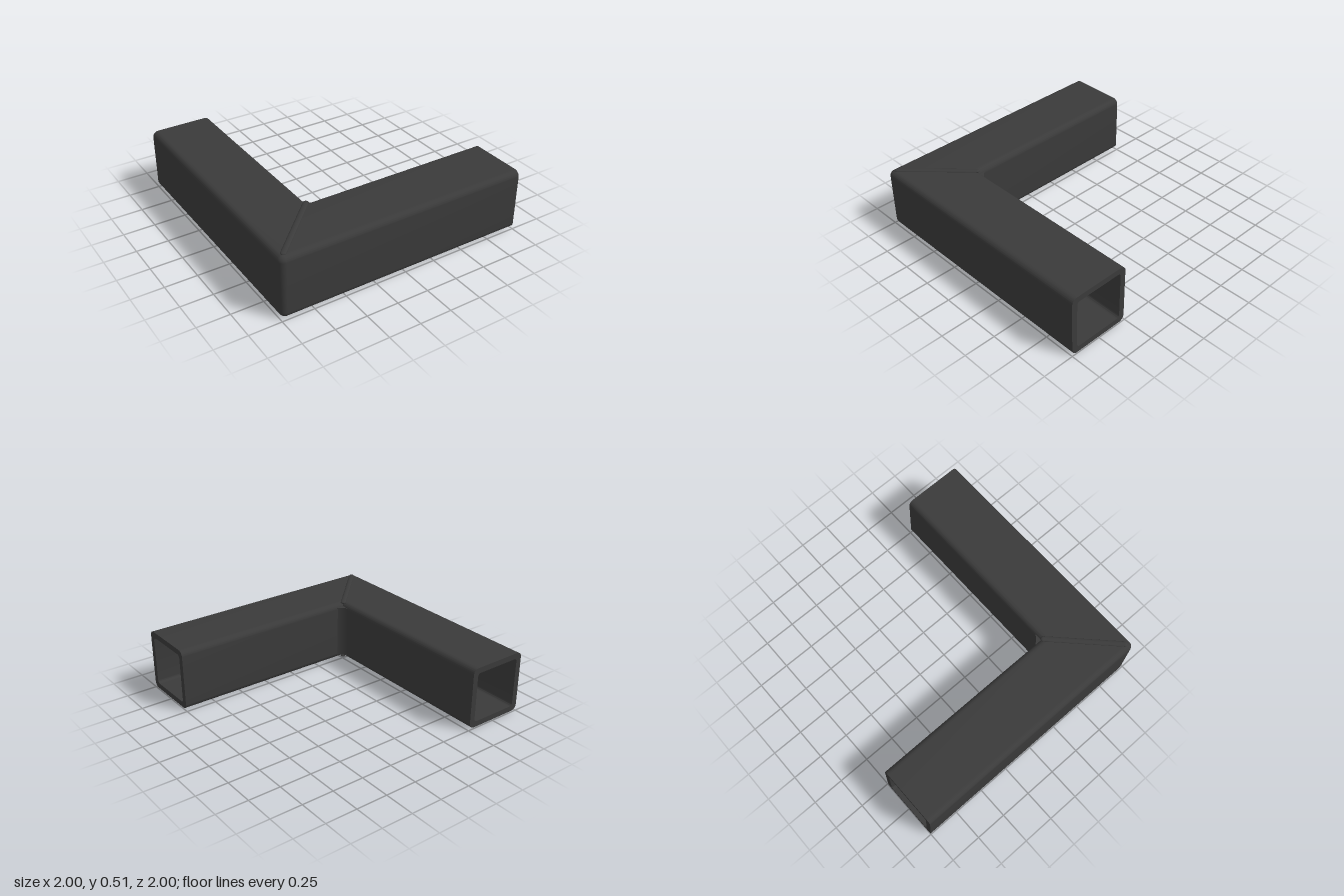
import * as THREE from 'three';
import { toCreasedNormals } from 'three/addons/utils/BufferGeometryUtils.js';

const W = 0.49, R = 0.045, WALL = 0.045; // tube width, corner radius, wall thickness
const MID = -1 + W / 2;                  // centre line of a tube
const CY = 0.255;                        // height of the tube centre

// Rounded square centred on (MID, 0)
function roundedSquare(Type, size, r) {
  const s = new Type(), k = size / 2 - r;
  [[1, 1], [-1, 1], [-1, -1], [1, -1]].forEach(([sx, sy], i) =>
    s.absarc(MID + sx * k, sy * k, r, i * Math.PI / 2, (i + 1) * Math.PI / 2, false));
  s.closePath();
  return s;
}

// Hollow tube along z, its front end cut at 45 degrees
function mitredTube() {
  const section = roundedSquare(THREE.Shape, W, R);
  section.holes.push(roundedSquare(THREE.Path, W - 2 * WALL, 0.025));
  const g = new THREE.ExtrudeGeometry(section, { depth: 2, bevelEnabled: false, curveSegments: 6 });
  g.translate(0, 0, -1);
  const p = g.attributes.position;
  for (let i = 0; i < p.count; i++) {
    if (p.getZ(i) > 0.9) p.setZ(i, Math.min(-p.getX(i), 1 - R));
  }
  return toCreasedNormals(g, 0.6);
}

export function createModel() {
  const group = new THREE.Group();
  const steel = new THREE.MeshStandardMaterial({ color: 0x3a3a3a });
  const add = (name, geometry) => {
    const mesh = new THREE.Mesh(geometry, steel);
    mesh.name = name;
    mesh.position.y = CY;
    group.add(mesh);
    return mesh;
  };

  // Two tubes meeting in a mitre; the second is the first turned over about the diagonal
  add('sideTube', mitredTube());
  add('frontTube', mitredTube().rotateX(Math.PI).rotateY(Math.PI / 2));

  // Rounded outer corner
  const profile = [];
  for (let i = 0; i <= 12; i++) {
    const a = -Math.PI / 2 + Math.PI * (i < 6 ? i : i - 0) / 12;
    const y = Math.sin(a) * R, k = W / 2 - R;
    if (i === 6) profile.push(new THREE.Vector2(R, -k), new THREE.Vector2(R, k));
    else profile.push(new THREE.Vector2(Math.cos(a) * R, y + Math.sign(y) * k));
  }
  const corner = add('outerCorner', new THREE.LatheGeometry(profile, 8, Math.PI * 1.5, Math.PI / 2));
  corner.position.set(-1 + R, CY, 1 - R);

  // Weld filling the inner corner (shape drawn in x, -z)
  const c = -1 + W, f = 0.055, h = W - 0.06;
  const fillet = new THREE.Shape();
  fillet.moveTo(c - 0.01, c - 0.01);
  fillet.lineTo(c + f, c - 0.01);
  fillet.lineTo(c + f, c);
  fillet.quadraticCurveTo(c + 0.02, c + 0.02, c, c + f);
  fillet.lineTo(c - 0.01, c + f);
  const weld = new THREE.ExtrudeGeometry(fillet, { depth: h, bevelEnabled: false, curveSegments: 6 });
  weld.rotateX(-Math.PI / 2).translate(0, -h / 2, 0);
  add('innerWeld', toCreasedNormals(weld, 0.6));

  // Flat weld beads along the mitre, above and below
  for (const s of [1, -1]) {
    const bead = new THREE.CapsuleGeometry(0.022, 0.6, 4, 12);
    bead.rotateX(Math.PI / 2).scale(1, 0.5, 1).rotateY(-Math.PI / 4);
    const mesh = add(s > 0 ? 'topWeld' : 'bottomWeld', bead);
    mesh.position.set(-0.735, CY + s * (W / 2 - 0.001), 0.735);
  }
  return group;
}
